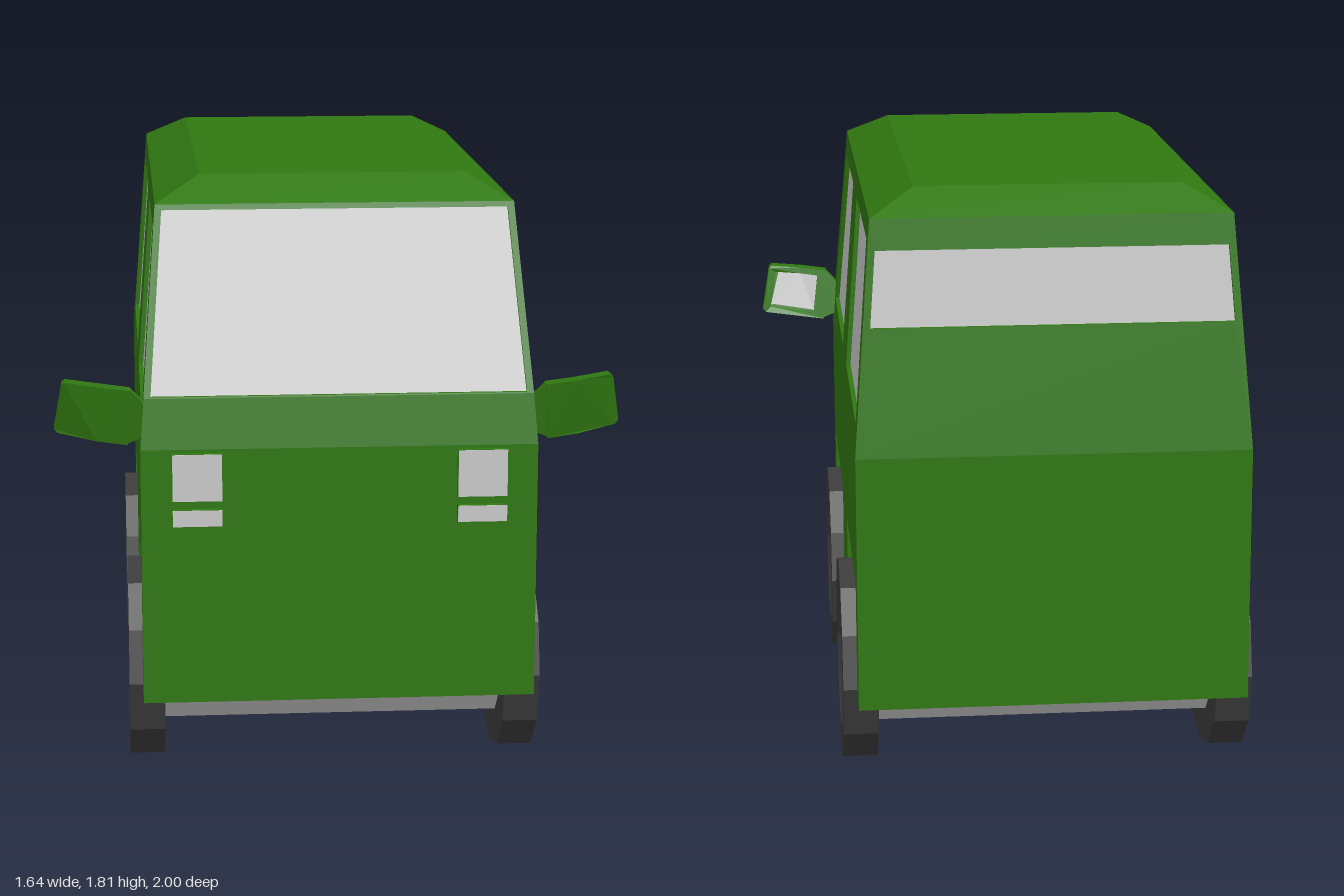
import * as THREE from 'three';

const material = (color) => new THREE.MeshStandardMaterial({ color, flatShading: true });

export function createModel() {
  const van = new THREE.Group();
  const paint = material(0x307811);
  const rubber = material(0x3c3c3c);
  const grey = material(0xcccccc);

  const add = (name, geometry, mat, parent = van) => {
    const mesh = new THREE.Mesh(geometry, mat);
    mesh.name = name;
    parent.add(mesh);
    return mesh;
  };
  const outline = (pts, Type = THREE.Shape) => new Type(pts.map(([x, y]) => new THREE.Vector2(x, y)));

  // Flat outline with holes, extruded; its outer face then follows surface(x, y)
  const panel = (pts, holes, depth, surface) => {
    const shape = outline(pts);
    shape.holes = holes.map((h) => outline(h, THREE.Path));
    const geo = new THREE.ExtrudeGeometry(shape, { depth, bevelEnabled: false });
    const p = geo.attributes.position;
    for (let i = 0; i < p.count; i++) {
      p.setZ(i, p.getZ(i) - depth + surface(p.getX(i), p.getY(i)));
    }
    geo.computeVertexNormals();
    return geo;
  };

  // Body surfaces as functions of height
  const belt = 1.06, sill = 1.205, eave = 1.74;
  const lerp = THREE.MathUtils.mapLinear;
  const half = (y) => lerp(y, belt, eave, 0.575, 0.522);
  const noseZ = (y) => lerp(y, belt, sill, 0.98, 0.955);
  const screenZ = (y) => lerp(y, sill, eave, 0.955, 0.78);
  const tailZ = (y) => lerp(y, belt, eave, 1.0, 0.912);
  const band = (y0, y1) => [[-half(y0), y0], [half(y0), y0], [half(y1), y1], [-half(y1), y1]];

  // Lower body with wheel arches running right through
  const lower = new THREE.ExtrudeGeometry(outline([
    [-0.98, 0.3], [-0.86, 0.3], [-0.86, 0.65], [-0.17, 0.65], [-0.17, 0.3], [0.19, 0.3],
    [0.19, 0.65], [0.88, 0.65], [0.88, 0.3], [1, 0.3], [1, belt], [-0.98, belt],
  ]), { depth: 1.15, bevelEnabled: false });
  lower.translate(0, 0, -0.575).rotateY(Math.PI / 2);
  add('lowerBody', lower, paint);

  // Nose, windscreen and tail
  const screen = [[-0.547, sill + 0.004], [0.547, sill + 0.004], [0.506, 1.724], [-0.506, 1.724]];
  const rearGlass = [[-0.525, 1.43], [0.525, 1.43], [0.508, 1.65], [-0.508, 1.65]];
  add('nose', panel(band(belt, sill), [], 0.03, (x, y) => noseZ(y)), paint);
  add('windscreenFrame', panel(band(sill, eave), [screen], 0.03, (x, y) => screenZ(y)), paint);
  add('windscreen', panel(screen, [], 0.005, (x, y) => screenZ(y) - 0.012), grey);
  add('tail', panel(band(belt, eave), [rearGlass], 0.03, (x, y) => tailZ(y)).rotateY(Math.PI), paint);
  add('rearWindow', panel(rearGlass, [], 0.005, (x, y) => tailZ(y) - 0.012).rotateY(Math.PI), grey);

  // Roof with sloped edges
  const roof = new THREE.BoxGeometry(2, 0.07, 2);
  const rp = roof.attributes.position;
  for (let i = 0; i < rp.count; i++) {
    const top = rp.getY(i) > 0;
    const front = rp.getZ(i) > 0;
    const z = top ? (front ? 0.65 : -0.785) : (front ? 0.78 : -0.912);
    rp.setXYZ(i, rp.getX(i) * (top ? 0.39 : 0.522), top ? 1.81 : eave, z);
  }
  roof.computeVertexNormals();
  add('roof', roof, paint);

  // Wheel cross-section: tread, sidewall, sunken hub
  const wheelProfile = [[0, -0.05], [0.31, -0.05], [0.31, 0.055], [0.222, 0.055], [0.2, 0.035], [0, 0.035]]
    .map(([r, h]) => new THREE.Vector2(r, h));

  // Side window outlines in (z, y)
  const windows = [
    [[0.87, 1.14], [0.13, 1.14], [0.13, 1.67], [0.71, 1.67]],
    [[-0.15, 1.14], [-0.9, 1.14], [-0.835, 1.67], [-0.145, 1.67]],
  ];
  const sideOutline = [[0.98, belt], [0.955, sill], [0.78, eave], [-0.912, eave], [-1, belt]];

  for (const s of [1, -1]) {
    const side = s > 0 ? 'left' : 'right';
    const flip = (pts) => pts.map(([z, y]) => [-s * z, y]);
    const turn = s * Math.PI / 2;

    // Side wall and its recessed windows
    add(side + 'SideWall', panel(flip(sideOutline), windows.map(flip), 0.02, (u, y) => half(y)).rotateY(turn), paint);
    windows.forEach((w, i) => add(side + (i ? 'RearWindow' : 'FrontWindow'),
      panel(flip(w), [], 0.004, (u, y) => half(y) - 0.014).rotateY(turn), grey));

    // Wheels
    for (const [name, z] of [['FrontWheel', 0.525], ['RearWheel', -0.54]]) {
      const wheel = new THREE.LatheGeometry(wheelProfile, 12).rotateZ(-turn);
      add(side + name, wheel, rubber).position.set(s * 0.56, 0.31, z);
    }

    // Headlamp and indicator: painted housing, grey lens
    for (const [name, y, h] of [['Headlamp', 0.98, 0.14], ['Indicator', 0.86, 0.05]]) {
      const lamp = new THREE.Group();
      lamp.name = side + name;
      lamp.position.set(s * 0.413, y, 0);
      add('housing', new THREE.BoxGeometry(0.145, h, 0.03).translate(0, 0, 0.983), paint, lamp);
      add('lens', new THREE.BoxGeometry(0.143, h - 0.002, 0.003).translate(0, 0, 0.9985), grey, lamp);
      van.add(lamp);
    }

    // Door mirror: short arm, curved tilted head, glass on the back
    const mirror = new THREE.Group();
    mirror.name = side + 'Mirror';
    const out = (pts) => pts.map(([x, y]) => [s * x, y]);
    const bend = (x, y) => 0.945 + (y - 1.155) * 0.18 - 2.2 * Math.max(0, Math.abs(x) - 0.69) ** 2;
    const head = [[0.61, 1.064], [0.7, 1.078], [0.812, 1.098], [0.822, 1.11], [0.798, 1.246],
      [0.788, 1.254], [0.69, 1.242], [0.6, 1.23]];
    const glass = [[0.645, 1.09], [0.7, 1.098], [0.795, 1.115], [0.776, 1.232], [0.69, 1.222], [0.63, 1.213]];
    const arm = [[0.55, 1.08], [0.568, 1.085], [0.62, 1.064], [0.61, 1.23], [0.6, 1.228], [0.563, 1.19], [0.55, 1.19]];
    add('head', panel(out(head), [], 0.04, bend), paint, mirror);
    add('rim', panel(out(head), [out(glass)], 0.012, (x, y) => bend(x, y) - 0.04), paint, mirror);
    add('glass', panel(out(glass), [], 0.004, (x, y) => bend(x, y) - 0.04), grey, mirror);
    add('arm', panel(out(arm), [], 0.04, (x, y) => bend(x, y) - 0.006), paint, mirror);
    van.add(mirror);
  }

  // Thick axle drums
  for (const [name, z] of [['frontAxle', 0.525], ['rearAxle', -0.54]]) {
    const axle = new THREE.CylinderGeometry(0.2, 0.2, 1.04, 12).rotateZ(Math.PI / 2);
    add(name, axle, grey).position.set(0, 0.31, z);
  }

  return van;
}
